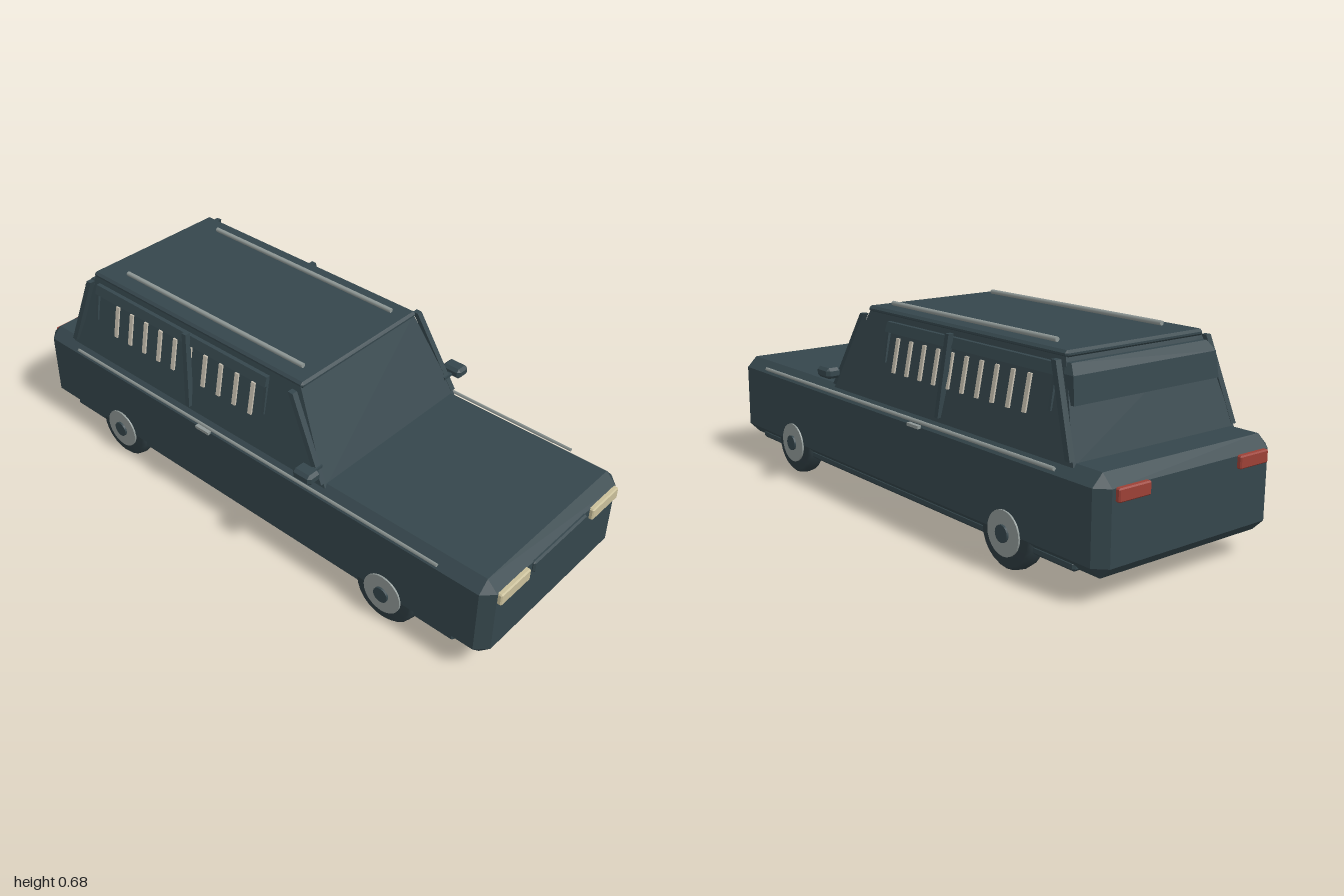
import * as THREE from 'three';
import { ConvexGeometry } from 'three/addons/geometries/ConvexGeometry.js';

const mat = (name, color) => {
  const m = new THREE.MeshStandardMaterial({ color });
  m.name = name;
  return m;
};

export function createModel() {
  const car = new THREE.Group();
  car.name = 'longCar';
  const paint = mat('slate paint', 0x35464c);
  const rubber = mat('dark rubber', 0x2d3b40);
  const metal = mat('grey metal', 0x8f9896);
  const cream = mat('cream lamp', 0xc9bf9a);
  const curtain = mat('pale curtain', 0xc6bfb0);
  const red = mat('red lamp', 0x9c4036);

  const add = (name, geo, material, x = 0, y = 0, z = 0) => {
    const m = new THREE.Mesh(geo, material);
    m.name = name;
    m.position.set(x, y, z);
    car.add(m);
    return m;
  };
  const hull = (pts) => new ConvexGeometry(pts.map((p) => new THREE.Vector3(...p)));

  // Box with every edge and corner cut by c
  const chamferBox = (w, h, d, c) => {
    const pts = [];
    const [a, b, e] = [w / 2, h / 2, d / 2];
    for (const i of [-1, 1]) for (const j of [-1, 1]) for (const k of [-1, 1]) {
      pts.push([i * a, j * (b - c), k * (e - c)]);
      pts.push([i * (a - c), j * b, k * (e - c)]);
      pts.push([i * (a - c), j * (b - c), k * e]);
    }
    return hull(pts);
  };

  // Lower body and underside
  add('body', chamferBox(0.7, 0.295, 1.97, 0.037), paint, 0, 0.2325, 0);
  add('sill', chamferBox(0.67, 0.03, 1.74, 0.008), paint, 0, 0.096, 0);

  // Cabin with sloping sides, windscreen and rear window
  const sideX = (y) => 0.325 - (y - 0.38) * 0.2;
  const rearZ = (y) => -0.85 + (y - 0.38) * 0.36;
  const cabin = [];
  for (const s of [-1, 1]) {
    cabin.push([s * sideX(0.37), 0.37, 0.355], [s * sideX(0.65), 0.65, 0.205]);
    cabin.push([s * sideX(0.37), 0.37, -0.85], [s * sideX(0.65), 0.65, rearZ(0.65)]);
  }
  add('cabin', hull(cabin), paint);
  add('roof', chamferBox(0.548, 0.022, 0.975, 0.008), paint, 0, 0.655, -0.272);

  // Plate on a cabin side between two heights, each with its own z range and outer offset
  const sidePlate = (name, material, s, low, high, thick = 0.02) => {
    const pts = [];
    for (const [y, z0, z1, out] of [low, high]) {
      const x = sideX(y) + out;
      for (const z of [z0, z1]) pts.push([s * x, y, z], [s * (x - thick), y, z]);
    }
    add(name, hull(pts), material);
  };

  for (const s of [-1, 1]) {
    // Window pillars
    sidePlate('frontPillar', paint, s, [0.385, 0.328, 0.348, 0.012], [0.645, 0.188, 0.208, 0.038]);
    sidePlate('middlePillar', paint, s, [0.385, -0.255, -0.237, 0.012], [0.645, -0.278, -0.26, 0.038]);
    sidePlate('rearPillar', paint, s, [0.385, -0.846, -0.826, 0.012], [0.645, -0.755, -0.735, 0.038]);

    // Side valance with drops at its ends
    sidePlate('sideValance', paint, s, [0.6, -0.73, 0.08, 0.018], [0.632, -0.73, 0.08, 0.014]);
    for (const z of [0.075, -0.728])
      sidePlate('curtainEnd', paint, s, [0.5, z - 0.005, z + 0.005, 0.006], [0.61, z - 0.005, z + 0.005, 0.01]);

    // Pale curtain folds
    for (let i = 0; i < 10; i++) {
      const z = 0.02 - i * 0.0717;
      sidePlate('curtainFold', curtain, s, [0.475, z - 0.008, z + 0.008, 0.006], [0.585, z - 0.008, z + 0.008, 0.006], 0.012);
    }

    // Roof rail, waist trim and door handle
    const rail = new THREE.CylinderGeometry(0.008, 0.008, 0.81, 8).rotateX(Math.PI / 2);
    add('roofRail', rail, metal, s * 0.21, 0.674, -0.245);
    const trim = new THREE.CylinderGeometry(0.007, 0.007, 1.6, 4).rotateX(Math.PI / 2);
    add('waistTrim', trim, metal, s * 0.349, 0.36, 0);
    add('doorHandle', new THREE.BoxGeometry(0.014, 0.01, 0.06), metal, s * 0.354, 0.345, -0.155);

    // Wing mirror on a short arm
    add('mirror', chamferBox(0.054, 0.037, 0.075, 0.01), paint, s * 0.37, 0.436, 0.318);
    add('mirrorArm', new THREE.BoxGeometry(0.05, 0.01, 0.016), paint, s * 0.33, 0.43, 0.318);

    // Lamps
    add('headlight', chamferBox(0.145, 0.042, 0.025, 0.004), cream, s * 0.238, 0.324, 0.986);
    add('tailLight', chamferBox(0.12, 0.04, 0.025, 0.004), red, s * 0.24, 0.325, -0.987);

    // Wheels: bevelled tyre, pale cover, dark cap
    for (const z of [0.613, -0.593]) {
      const profile = [[0, -0.032], [0.1, -0.032], [0.111, -0.022], [0.115, 0], [0.111, 0.022], [0.1, 0.032], [0, 0.032]];
      const tyre = new THREE.LatheGeometry(profile.map((p) => new THREE.Vector2(...p)), 24).rotateZ(Math.PI / 2);
      add('tyre', tyre, rubber, s * 0.317, 0.119, z);
      const cover = new THREE.CylinderGeometry(0.07, 0.07, 0.02, 24).rotateZ(Math.PI / 2);
      add('wheelCover', cover, metal, s * 0.346, 0.119, z);
      const cap = new THREE.CylinderGeometry(0.027, 0.027, 0.02, 16).rotateZ(Math.PI / 2);
      add('wheelCap', cap, paint, s * 0.353, 0.119, z);
    }
  }

  // Grille panel
  add('grille', chamferBox(0.28, 0.044, 0.02, 0.006), paint, 0, 0.323, 0.984);

  // Valance across the rear window
  const valance = [];
  for (const s of [-1, 1]) for (const [y, w, o] of [[0.525, 0.29, 0.012], [0.605, 0.285, 0.03], [0.635, 0.27, 0.016]])
    valance.push([s * w, y, rearZ(y) - o], [s * w, y, rearZ(y) + 0.008]);
  add('rearValance', hull(valance), paint);

  return car;
}
